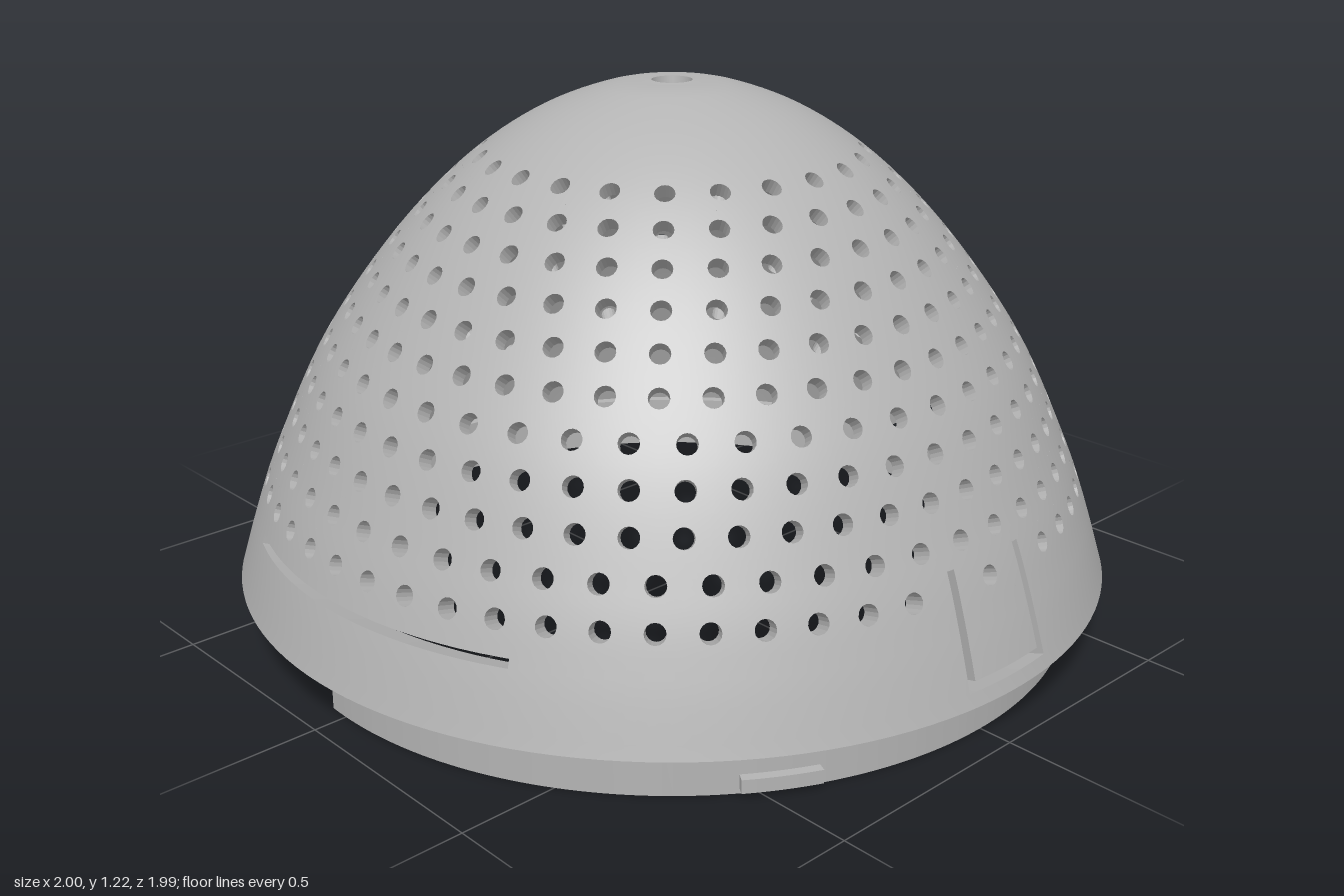
import * as THREE from 'three';

const TAU = Math.PI * 2;
const RIM_Y = 0.12;

// Outer profile (radius, height) from the rim to the small hole at the top
const profile = new THREE.SplineCurve([
  [1, 0.12], [0.955, 0.265], [0.9, 0.41], [0.79, 0.64], [0.63, 0.865], [0.47, 1.03],
  [0.31, 1.14], [0.15, 1.203], [0.045, 1.215],
].map(([r, y]) => new THREE.Vector2(r, y)));
profile.arcLengthDivisions = 600;
const LENGTH = profile.getLength();

function uAtHeight(y) {
  let lo = 0, hi = 1;
  for (let i = 0; i < 30; i++) {
    const mid = (lo + hi) / 2;
    if (profile.getPointAt(mid).y < y) lo = mid; else hi = mid;
  }
  return lo;
}

// Point of the shell at angle a (0 = front, + towards +x) and profile position u
function shellPoint(a, u) {
  const p = profile.getPointAt(u), t = profile.getTangentAt(u);
  const nr = t.y, ny = -t.x;
  const thick = 0.036 + 0.034 * Math.max(0, 1 - 3 * u);
  const at = (r, y) => new THREE.Vector3(r * Math.sin(a), y, r * Math.cos(a));
  return {
    out: at(p.x, p.y),
    in: at(p.x - nr * thick, Math.max(RIM_Y, p.y - ny * thick)),
    normal: at(nr, ny),
  };
}

// Collects the faces of a shell with thickness
class ShellBuilder {
  constructor() { this.pos = []; this.nor = []; }
  tri(points, normals) {
    points.forEach((p, i) => {
      this.pos.push(p.x, p.y, p.z);
      this.nor.push(normals[i].x, normals[i].y, normals[i].z);
    });
  }
  // outer and inner skin of a patch, corners counter-clockwise from outside
  skin(a, b, c, d) {
    for (const t of [[a, b, c], [a, c, d]]) {
      this.tri(t.map((p) => p.out), t.map((p) => p.normal));
      const r = [t[0], t[2], t[1]];
      this.tri(r.map((p) => p.in), r.map((p) => p.normal.clone().negate()));
    }
  }
  // cut face from outer to inner skin, edge counter-clockwise around the opening
  wall(a, b) {
    const n = b.out.clone().sub(a.out).cross(a.in.clone().sub(a.out)).normalize();
    this.tri([a.out, b.out, b.in], [n, n, n]);
    this.tri([a.out, b.in, a.in], [n, n, n]);
  }
  // grid of patches round the whole dome; open(a, u) tells which ones are cut away
  grid(angles, us, open = () => false) {
    const n = angles.length - 1, m = us.length - 1;
    const pts = us.map((u) => angles.map((a) => shellPoint(a, u)));
    const cut = (i, j) => {
      const k = (i + n) % n;
      return open((angles[k] + angles[k + 1]) / 2, (us[j] + us[j + 1]) / 2);
    };
    for (let j = 0; j < m; j++) for (let i = 0; i < n; i++) {
      const a = pts[j][i], b = pts[j][i + 1], c = pts[j + 1][i + 1], d = pts[j + 1][i];
      if (!cut(i, j)) { this.skin(a, b, c, d); continue; }
      if (j > 0 && !cut(i, j - 1)) this.wall(a, b);
      if (!cut(i + 1, j)) this.wall(b, c);
      if (j < m - 1 && !cut(i, j + 1)) this.wall(c, d);
      if (!cut(i - 1, j)) this.wall(d, a);
    }
    return pts;
  }
  // one rectangular patch with an opening; hole(x, y, phi) gives [angle, u] offsets
  cell(a, u, ha, hu, hole) {
    const N = 16, edge = [], rim = [], off = [];
    for (let i = 0; i <= N; i++) {
      const phi = (i / N) * TAU, c = Math.cos(phi), s = Math.sin(phi);
      const k = Math.max(Math.abs(c), Math.abs(s));
      const x = (c / k) * ha, y = (s / k) * hu;
      const [dx, dy] = hole(x, y, phi);
      edge.push(shellPoint(a + x, u + y));
      rim.push(shellPoint(a + dx, u + dy));
      off.push(dy);
    }
    for (let i = 0; i < N; i++) {
      this.skin(edge[i], edge[i + 1], rim[i + 1], rim[i]);
      const onBorder = Math.min(-off[i], -off[i + 1]) > hu * 0.999;
      if (!onBorder) this.wall(rim[i], rim[i + 1]);
    }
  }
  build() {
    const g = new THREE.BufferGeometry();
    g.setAttribute('position', new THREE.Float32BufferAttribute(this.pos, 3));
    g.setAttribute('normal', new THREE.Float32BufferAttribute(this.nor, 3));
    return g;
  }
}

const range = (a, b, n) => Array.from({ length: n + 1 }, (_, i) => a + ((b - a) * i) / n);
const sorted = (list) => list.sort((a, b) => a - b);

// Solid ring sector between two radii, heights and angles
function arcSolid(r0, r1, y0, y1, a0, a1) {
  const s = new THREE.Shape();
  const b0 = a0 - Math.PI / 2, b1 = a1 - Math.PI / 2;
  s.absarc(0, 0, r1, b0, b1, false);
  s.absarc(0, 0, r0, b1, b0, true);
  const segs = Math.max(8, Math.ceil((a1 - a0) * 20));
  const g = new THREE.ExtrudeGeometry(s, { depth: y1 - y0, bevelEnabled: false, curveSegments: segs });
  return g.rotateX(-Math.PI / 2).translate(0, y0, 0);
}

export function createModel() {
  const group = new THREE.Group();
  const grey = new THREE.MeshStandardMaterial({ color: 0xb4b4b4, side: THREE.DoubleSide });
  grey.name = 'grey plastic';
  const add = (name, geometry) => {
    const mesh = new THREE.Mesh(geometry, grey);
    mesh.name = name;
    group.add(mesh);
  };

  const uHoles = uAtHeight(0.305), uCrown = uAtHeight(1.09);
  const ROWS = 11, rowH = (uCrown - uHoles) / ROWS;
  const legA = TAU / 56, legW = 0.01, notchA = 0.124;
  const slotA = [-0.38, 0.49];
  const slotU = [uAtHeight(0.263), uAtHeight(0.281)];
  const clipU = [uAtHeight(0.15), uAtHeight(0.17)];

  // Plain lower band with front slot, back notch and the side clip's U-shaped cut
  const band = new ShellBuilder();
  const side = Math.PI / 2;
  const angles = sorted([
    ...range(-2.5, TAU - 2.5, 144), ...slotA, Math.PI - notchA, Math.PI + notchA,
    ...[-1, 1].flatMap((s) => [side + s * legA - legW, side + s * legA + legW]),
  ]);
  const heights = sorted([0, ...clipU, uAtHeight(0.215), ...slotU, uHoles]);
  band.grid(angles, heights, (a, u) => {
    if (Math.abs(a - Math.PI) < notchA) return true;
    if (a > slotA[0] && a < slotA[1] && u > slotU[0] && u < slotU[1]) return true;
    const d = Math.abs(a - side);
    if (u < clipU[0] || d > legA + legW) return false;
    return u < clipU[1] || d > legA - legW;
  });
  add('lowerBand', band.build());

  // Staggered rows of round holes; the clip's two legs end in the lowest row
  const vents = new ShellBuilder();
  const holeR = 0.0215;
  for (let row = 0; row < ROWS; row++) {
    const u = uHoles + (row + 0.5) * rowH;
    const r = profile.getPointAt(u).x;
    const count = row === 0 ? 56 : 4 * Math.round((TAU * r) / 0.106 / 4);
    const ha = Math.PI / count;
    for (let i = 0; i < count; i++) {
      const a = (i + (row % 2) / 2) * 2 * ha;
      const isLeg = row === 0 && Math.abs(Math.abs(a - side) - legA) < 0.01;
      vents.cell(a, u, ha, rowH / 2, isLeg
        ? (x, y) => [THREE.MathUtils.clamp(x, -legW, legW), Math.min(y, rowH * 0.45)]
        : (x, y, phi) => [(holeR / r) * Math.cos(phi), (holeR / LENGTH) * Math.sin(phi)]);
    }
  }
  add('perforatedWall', vents.build());

  // Closed crown with a small centre hole
  const crown = new ShellBuilder();
  const rings = crown.grid(range(0, TAU, 112), range(uCrown, 1, 14));
  const top = rings[rings.length - 1];
  for (let i = 0; i < top.length - 1; i++) crown.wall(top[i], top[i + 1]);
  add('crown', crown.build());

  // Underside of the rim, interrupted by the back notch
  add('rimUnderside', arcSolid(0.91, 0.995, RIM_Y, RIM_Y + 0.008, notchA - Math.PI, Math.PI - notchA));

  // Inset lip with a gap at the front
  const deg = Math.PI / 180;
  add('lip', arcSolid(0.9, 0.925, 0, RIM_Y + 0.01, -3 * deg, 323.5 * deg));

  // Three locking tabs on the lip
  for (const a of [-60, 60, 180]) {
    add('lockingTab', arcSolid(0.915, 0.946, 0.012, 0.042, (a - 5) * deg, (a + 5) * deg));
  }
  return group;
}
